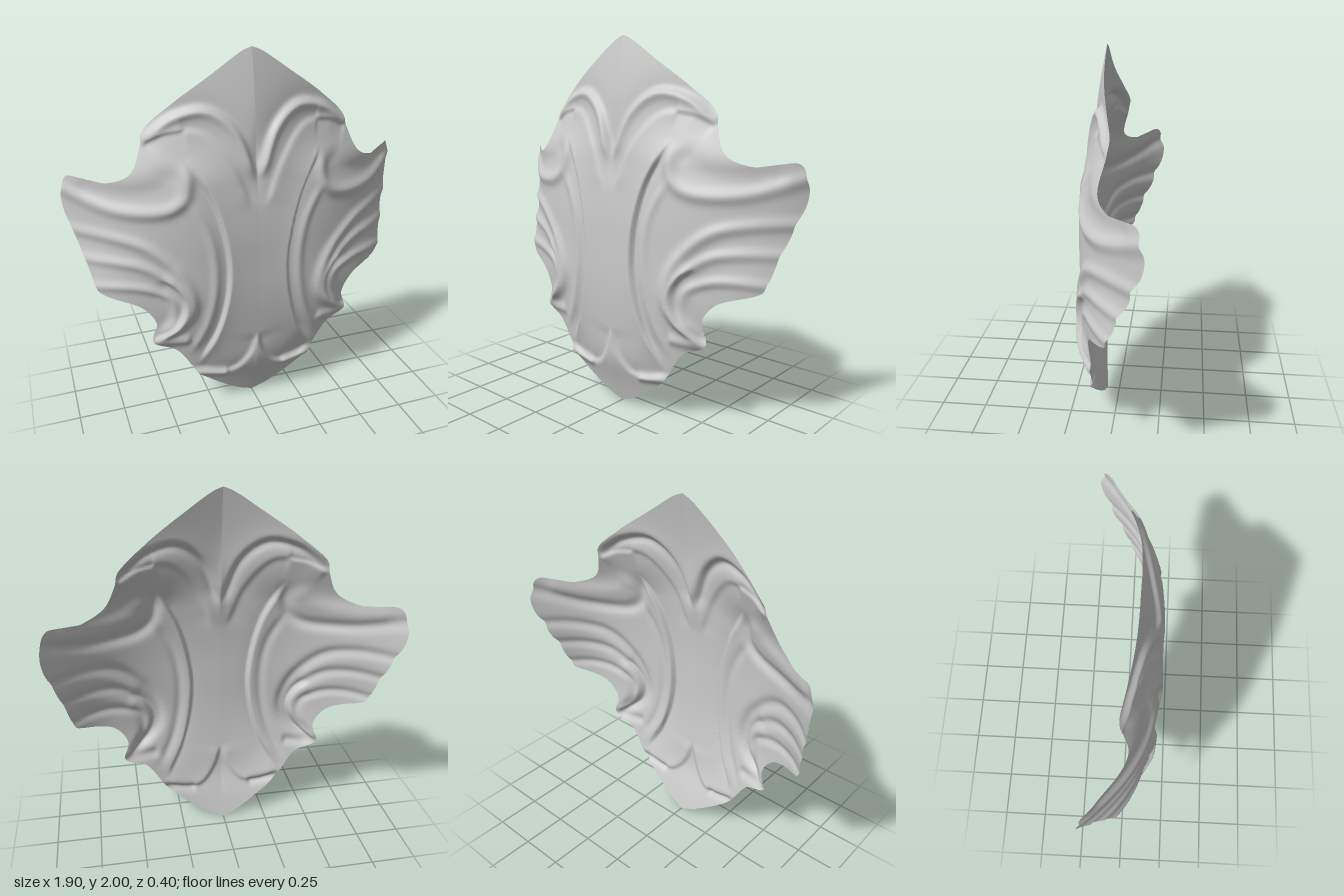
import * as THREE from 'three';

const smooth = THREE.MathUtils.smoothstep;
const toVectors = (points) => points.map(([x, y]) => new THREE.Vector3(x, y, 0));
const blend = (a, b, k) => a.map(([x, y], i) => [x + (b[i][0] - x) * k, y + (b[i][1] - y) * k]);

// Right half of the rim, from crown to tip
const RIM = [
  [0, 2], [0.05, 1.98], [0.2, 1.88], [0.4, 1.74], [0.545, 1.61], [0.563, 1.54], [0.63, 1.41], [0.78, 1.357],
  [0.91, 1.38], [0.945, 1.3], [0.944, 1.2], [0.91, 1.08], [0.865, 0.92], [0.825, 0.77], [0.8, 0.752],
  [0.62, 0.685], [0.55, 0.58], [0.573, 0.465], [0.45, 0.4], [0.365, 0.275], [0.33, 0.22], [0.1, 0.045], [0, 0],
];

// Relief lines. A ridge is a soft bead; a step is raised on the left of travel and lowered on the right.
const relief = [];
function addLine(style, points) {
  relief.push({ ...style, pts: new THREE.CatmullRomCurve3(toVectors(points)).getSpacedPoints(40) });
}

// Crown arches
function addCrown() {
  const outer = [[0.56, 1.57], [0.4, 1.69], [0.24, 1.72], [0.11, 1.63], [0, 1.36]];
  const inner = [[0.54, 1.56], [0.42, 1.61], [0.28, 1.61], [0.14, 1.46], [0.03, 1.2]];
  addLine({ step: 0.016, edge: 0.02, w: 0.06 }, outer);
  addLine({ ridge: 0.012, w: 0.025 }, blend(outer, inner, 0.15));
  addLine({ step: 0.01, edge: 0.02, w: 0.05 }, inner);
  addLine({ step: 0.014, edge: 0.012, w: 0.04 }, [[0.34, 1.62], [0.45, 1.6], [0.56, 1.55]]);
}

// Long edge of the middle panel and the bead beside it
function addPanel() {
  addLine({ step: -0.016, edge: 0.006, w: 0.07 }, [[0.37, 1.5], [0.23, 1.23], [0.165, 0.87], [0.22, 0.53], [0.34, 0.28]]);
  addLine({ ridge: 0.01, w: 0.025 }, [[0.39, 1.32], [0.27, 1.1], [0.235, 0.85], [0.28, 0.57], [0.39, 0.34]]);
}

// Shoulder bead and hollow, then feathers gathering into the curl
function addWing() {
  addLine({ ridge: 0.02, w: 0.035 }, [[0.36, 1.5], [0.38, 1.3], [0.46, 1.235], [0.7, 1.225], [0.88, 1.28], [1.05, 1.36]]);
  addLine({ ridge: -0.012, w: 0.06 }, [[0.4, 1.45], [0.5, 1.35], [0.7, 1.31], [0.9, 1.34]]);
  const top = [[1.1, 1.09], [0.75, 1.08], [0.58, 1.03], [0.4, 0.84], [0.37, 0.65], [0.57, 0.45]];
  const bottom = [[1.1, 0.76], [0.7, 0.81], [0.57, 0.79], [0.47, 0.73], [0.46, 0.62], [0.57, 0.47]];
  for (const k of [0, 0.5, 1]) addLine({ ridge: 0.018 - 0.004 * k, w: 0.032 - 0.007 * k }, blend(top, bottom, k));
  addLine({ step: -0.018, edge: 0.008, w: 0.05 }, [[0.53, 0.87], [0.44, 0.79], [0.405, 0.7], [0.44, 0.59], [0.58, 0.46]]);
  addLine({ ridge: 0.014, w: 0.03 }, [[0.36, 0.47], [0.5, 0.465], [0.66, 0.46]]);
}

// Beak at the foot
function addBeak() {
  addLine({ step: -0.012, edge: 0.015, w: 0.06 }, [[0, 0.46], [0.04, 0.32], [0.12, 0.225], [0.22, 0.215], [0.36, 0.27]]);
  addLine({ ridge: 0.016, w: 0.025 }, [[0.15, 0.2], [0.28, 0.22], [0.4, 0.23]]);
}

// Signed distance to a line (left positive) and position along it
function nearest(pts, x, y) {
  let best = Infinity, side = 1, along = 0;
  const n = pts.length - 1;
  for (let i = 0; i < n; i++) {
    const a = pts[i], b = pts[i + 1];
    const dx = b.x - a.x, dy = b.y - a.y, px = x - a.x, py = y - a.y;
    const t = Math.min(1, Math.max(0, (px * dx + py * dy) / (dx * dx + dy * dy)));
    const d = Math.hypot(px - t * dx, py - t * dy);
    if (d < best) {
      best = d;
      side = dx * py - dy * px >= 0 ? 1 : -1;
      along = (i + t) / n;
    }
  }
  return [best * side, along];
}

// Depth of the curved plate plus its relief
function depth(x, y) {
  let z = 0.19 - 0.2 * x * x - 0.26 * x ** 4;
  z -= 0.13 * Math.max(0, y - 1) ** 1.7 * (1 - smooth(x, 0.75, 0.95));
  z -= 0.12 * Math.max(0, (0.8 - y) / 0.8) ** 2;
  z -= 0.12 * x * smooth(y, 1.35, 1.65) * (1 - smooth(x, 0.6, 0.9));
  z += 0.045 * smooth(x, 0.5, 0.85) * (1 - smooth(y, 0.75, 1.1));
  // Valley below the crown and swelling of the beak
  z -= 0.02 * Math.exp(-x / 0.05) * Math.exp(-(((y - 1.47) / 0.17) ** 2));
  z += 0.02 * Math.exp(-x / 0.12) * Math.exp(-(((y - 0.27) / 0.12) ** 2));
  for (const l of relief) {
    const [d, s] = nearest(l.pts, x, y);
    const fade = smooth(s, 0, 0.14) * (1 - smooth(s, 0.86, 1));
    if (l.ridge) z += l.ridge * fade * Math.exp(-((d / l.w) ** 2));
    else z += l.step * fade * Math.tanh(d / l.edge) * Math.exp(-Math.abs(d) / l.w);
  }
  return z;
}

export function createModel() {
  relief.length = 0;
  addCrown();
  addPanel();
  addWing();
  addBeak();

  // Rows run from the left rim over the spine to the right rim
  const ROWS = 250, COLS = 110, width = 2 * COLS + 1;
  const rim = new THREE.CatmullRomCurve3(toVectors(RIM), false, 'centripetal').getSpacedPoints(ROWS);
  const pos = new Float32Array((ROWS + 1) * width * 3);
  const index = [];
  rim.forEach((r, j) => {
    const spineY = 2 * (1 - j / ROWS);
    for (let i = 0; i <= COLS; i++) {
      const u = i / COLS;
      const x = Math.max(0, r.x) * u, y = spineY + (r.y - spineY) * u;
      const z = depth(x, y);
      pos.set([x, y, z], (j * width + COLS + i) * 3);
      pos.set([-x, y, z], (j * width + COLS - i) * 3);
    }
    if (j === ROWS) return;
    for (let i = 0; i < width - 1; i++) {
      const a = j * width + i, b = a + width;
      index.push(a, b, a + 1, a + 1, b, b + 1);
    }
  });

  const geometry = new THREE.BufferGeometry();
  geometry.setAttribute('position', new THREE.BufferAttribute(pos, 3));
  geometry.setIndex(index);
  geometry.computeVertexNormals();

  const plate = new THREE.Mesh(geometry, new THREE.MeshStandardMaterial({ color: 0xcccccc, side: THREE.DoubleSide }));
  plate.name = 'ornamentalShieldPlate';
  const group = new THREE.Group();
  group.add(plate);
  return group;
}
